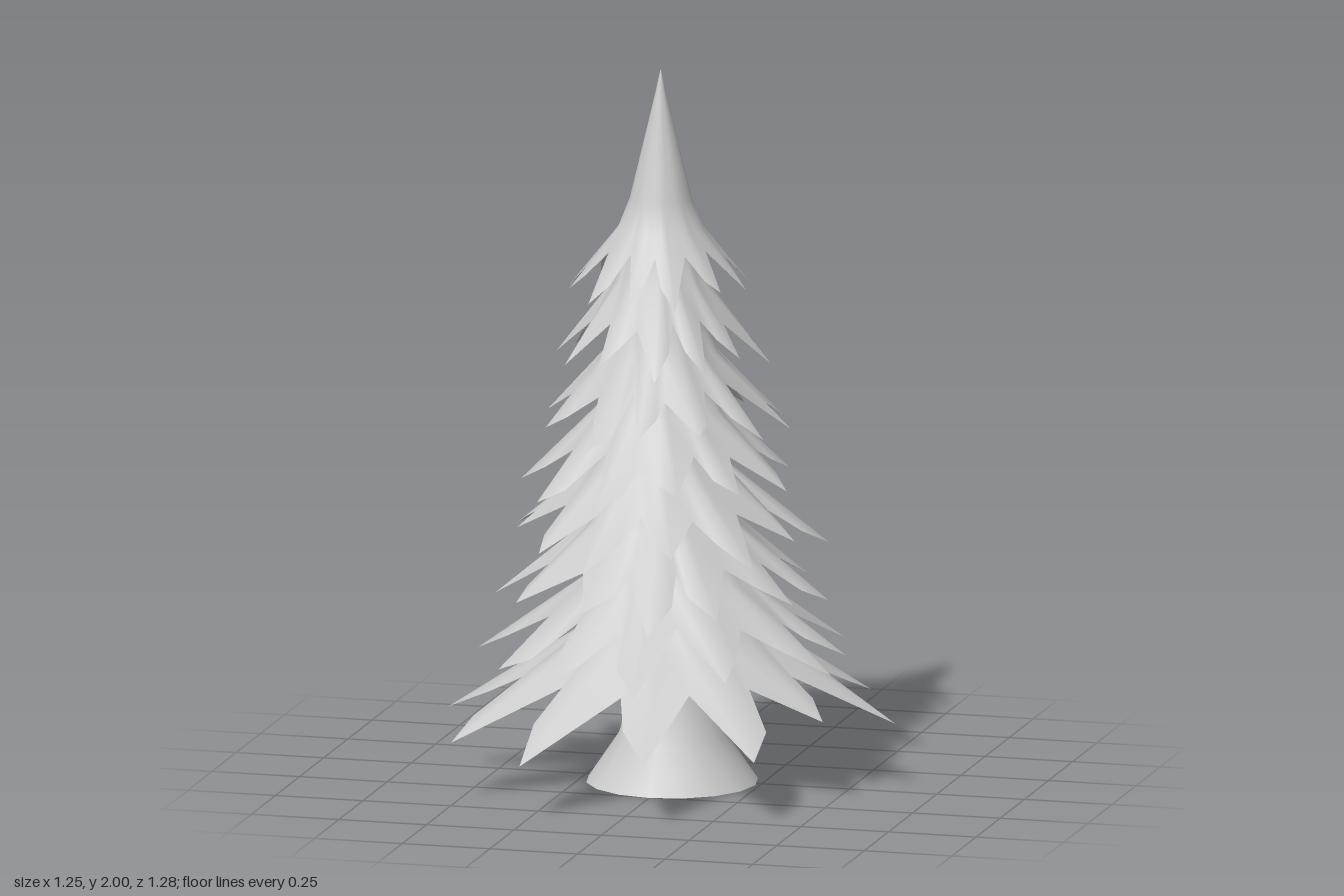
import * as THREE from 'three';

const material = new THREE.MeshStandardMaterial({ color: 0xcccccc, side: THREE.DoubleSide });
const lerp = THREE.MathUtils.lerp;

// Small seeded generator, -1..1
let seed = 11;
function jitter() {
  seed = (seed * 16807) % 2147483647;
  return (seed / 2147483647) * 2 - 1;
}

// The lowest boughs: angle in degrees, reach of each tip, and the side of its shoulder
const lowAngles = [-3, 24, 54.5, 82, 113, 141, 174, 203, 231, 257, 290, 324];
const lowReach = [0.625, 0.53, 0.64, 0.64, 0.685, 0.67, 0.63, 0.59, 0.64, 0.66, 0.54, 0.58];
const lowSide = [-1, -1, -1, 1, 1, 1, -1, 1, -1, 1, -1, 1];

// Hem of a tier: each bough has a tip, a shoulder on one side and a notch.
// Reach runs from 0 (notch radius) to 1 (full tip radius)
function makeHem(tier, isLowest) {
  const columns = [];
  const span = tier.tipR - tier.notchR;
  const tips = lowAngles.map((deg, k) => isLowest
    ? { deg, reach: (lowReach[k] - tier.notchR) / span, side: lowSide[k] }
    : { deg: k * 30 - 8 + tier.turn + jitter() * 5, reach: 0.84 + jitter() * 0.18, side: Math.sign(jitter()) });
  tips.forEach((tip, k) => {
    const next = k + 1 < tips.length ? tips[k + 1].deg : tips[0].deg + 360;
    const shoulder = { deg: tip.deg + tip.side * 8.5, reach: tip.reach * (0.6 + jitter() * 0.12) };
    const notch = { deg: lerp(tip.deg, next, 0.5 + jitter() * 0.05), reach: 0.04 + jitter() * 0.12 };
    columns.push(...(tip.side < 0 ? [shoulder, tip, notch] : [tip, shoulder, notch]));
  });
  return columns;
}

// One skirt of boughs: round rings at the top, a jagged hem below
function makeTier(tier, rings, isLowest) {
  const hem = makeHem(tier, isLowest);
  const n = hem.length;
  const positions = [];
  const index = [];
  const addPoint = (deg, r, y) => {
    const a = THREE.MathUtils.degToRad(deg);
    positions.push(Math.cos(a) * r, y, Math.sin(a) * r);
  };
  for (const [r, y] of rings) {
    for (const column of hem) addPoint(column.deg, r, y);
  }
  for (const { deg, reach } of hem) {
    addPoint(deg, lerp(tier.notchR, tier.tipR, reach), lerp(tier.notchY, tier.tipY, reach));
  }
  for (let i = 0; i < rings.length; i++) {
    for (let j = 0; j < n; j++) {
      const a = i * n + j;
      const b = i * n + (j + 1) % n;
      index.push(a, b, a + n, b, b + n, a + n);
    }
  }
  const geometry = new THREE.BufferGeometry();
  geometry.setAttribute('position', new THREE.Float32BufferAttribute(positions, 3));
  geometry.setIndex(index);
  geometry.computeVertexNormals();
  return new THREE.Mesh(geometry, material);
}

export function createModel() {
  const group = new THREE.Group();
  group.name = 'firTree';

  // Flared, open trunk
  const profile = [[0.238, 0], [0.15, 0.13], [0.112, 0.26], [0.095, 0.36], [0.095, 0.6]]
    .map(([r, y]) => new THREE.Vector2(r, y));
  const trunk = new THREE.Mesh(new THREE.LatheGeometry(profile, 16), material);
  trunk.name = 'trunk';
  trunk.position.set(0, 0, 0.02);
  group.add(trunk);

  // Tiers from the bottom up: notch height, tip height, tip radius, turn in degrees
  const tiers = [
    [0.32, 0.165, 0.66, 0], [0.48, 0.34, 0.55, 0], [0.64, 0.5, 0.495, 0], [0.8, 0.67, 0.46, -11],
    [0.96, 0.83, 0.42, -11], [1.12, 0.99, 0.37, 0], [1.32, 1.185, 0.305, 0], [1.5, 1.365, 0.275, 13],
  ];
  tiers.forEach(([notchY, tipY, tipR, turn], i) => {
    const tier = { notchY, tipY, tipR, turn, notchR: tipR * 0.55 };
    const isTop = i === tiers.length - 1;
    const rings = isTop
      ? [[0.001, 2], [0.016, 1.93], [0.085, 1.64], [0.116, 1.56]]
      : [[tipR * 0.2, notchY + 0.35], [tipR * 0.3, notchY + 0.2], [tipR * 0.42, notchY + 0.09]];
    const mesh = makeTier(tier, rings, i === 0);
    mesh.name = isTop ? 'treeTop' : `boughTier${i + 1}`;
    // The stem leans slightly to one side
    const lean = Math.min(1, i / 3);
    mesh.position.set(-0.033 * lean, 0, 0.018 * lean);
    group.add(mesh);
  });

  return group;
}
